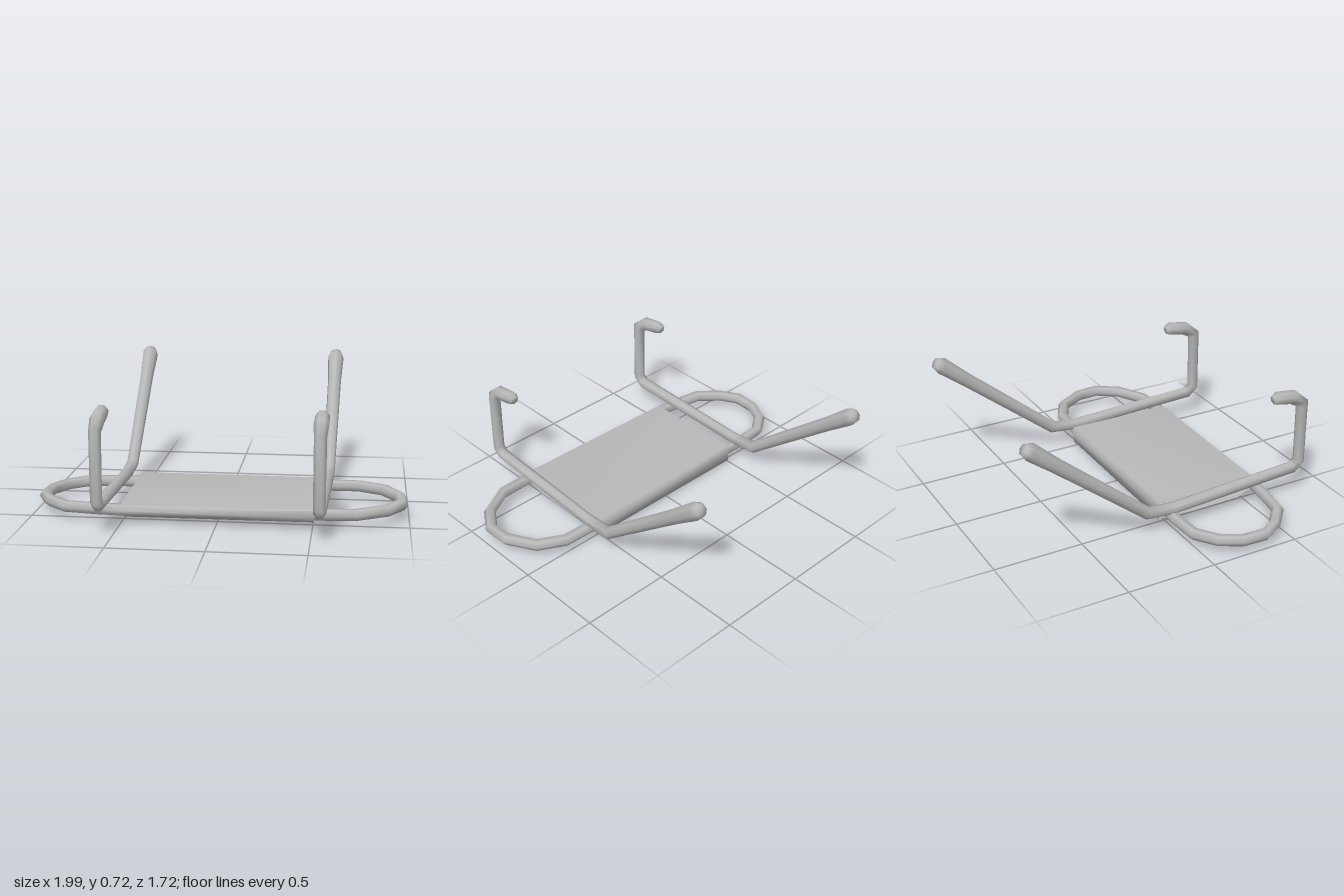
import * as THREE from 'three';

const steel = new THREE.MeshStandardMaterial({ color: 0xb8b8b8, side: THREE.DoubleSide });
steel.name = 'light grey';

function toGeometry(pos, idx) {
  const g = new THREE.BufferGeometry();
  g.setAttribute('position', new THREE.Float32BufferAttribute(pos, 3));
  g.setIndex(idx);
  g.computeVertexNormals();
  return g;
}

// Mitred low-poly pipe along a roughly planar path; "normal" is the plane's normal.
function pipe(points, radii, normal, closed = false, sides = 7) {
  const pos = [], idx = [], n = points.length;
  const at = (i) => (closed ? points[(i + n) % n] : points[Math.min(Math.max(i, 0), n - 1)]);
  points.forEach((p, i) => {
    const before = p.clone().sub(at(i - 1)).normalize();
    const after = at(i + 1).clone().sub(p).normalize();
    const tangent = before.clone().add(after).normalize();
    const side = normal.clone().cross(tangent).normalize();
    const bend = before.lengthSq() && after.lengthSq() ? tangent.dot(after) : 1;
    for (let j = 0; j < sides; j++) {
      const a = (j / sides) * Math.PI * 2;
      const v = p.clone()
        .addScaledVector(side, (radii[i] * Math.cos(a)) / bend)
        .addScaledVector(normal, radii[i] * Math.sin(a));
      pos.push(v.x, v.y, v.z);
    }
  });
  for (let i = 0; i < (closed ? n : n - 1); i++) {
    for (let j = 0; j < sides; j++) {
      const k = (j + 1) % sides, m = (i + 1) % n;
      const a = i * sides + j, b = i * sides + k, c = m * sides + k, d = m * sides + j;
      idx.push(a, b, d, b, c, d);
    }
  }
  if (!closed) {
    const first = pos.length / 3;
    pos.push(...points[0].toArray(), ...points[n - 1].toArray());
    for (let j = 0; j < sides; j++) {
      const k = (j + 1) % sides, e = (n - 1) * sides;
      idx.push(first, k, j, first + 1, e + j, e + k);
    }
  }
  return toGeometry(pos, idx);
}

// Closed cloth sleeve lofted between cross-sections of [z, y] points.
function sleeve(sections) {
  const pos = [], idx = [], m = sections[0].loop.length;
  sections.forEach(({ x, loop }) => loop.forEach(([z, y]) => pos.push(x, y, z)));
  for (let i = 0; i < sections.length - 1; i++) {
    for (let j = 0; j < m; j++) {
      const a = i * m + j, b = i * m + ((j + 1) % m);
      idx.push(a, a + m, b, b, a + m, b + m);
    }
  }
  return toGeometry(pos, idx);
}

export function createModel() {
  const model = new THREE.Group();
  const add = (name, geometry) => {
    const mesh = new THREE.Mesh(geometry, steel);
    mesh.name = name;
    model.add(mesh);
  };

  // Oval frame, [x, z] centreline
  const oval = [
    [-0.5, 0.0], [-0.62, 0.0], [-0.79, 0.01], [-0.9, 0.09], [-0.96, 0.2], [-0.967, 0.33],
    [-0.91, 0.43], [-0.8, 0.53], [-0.62, 0.56], [-0.5, 0.57], [0.5, 0.58], [0.72, 0.57],
    [0.88, 0.48], [0.96, 0.36], [0.955, 0.23], [0.87, 0.08], [0.73, 0.005], [0.5, 0.0],
  ].map(([x, z]) => new THREE.Vector3(x, 0.078 + 0.01 * x, z));
  add('ovalFrame', pipe(oval, oval.map(() => 0.032), new THREE.Vector3(0, 1, 0), true, 6));

  // Cloth seat wrapped around the two long rails
  const loop = (front, low) => [
    [front - 0.03, 0.115], [front, 0.075], [front - 0.03, 0.045], [front - 0.12, low + 0.005],
    [0.2, low], [-0.03, low + 0.012], [-0.04, 0.08], [-0.025, 0.12],
  ];
  add('seatSleeve', sleeve([
    { x: -0.495, loop: loop(0.602, 0.003) },
    { x: 0.51, loop: loop(0.622, 0.012) },
  ]));

  // Bent rods: hooked front upright, level run, raked rear arm; [z, y, radius]
  const rod = [
    [0.625, 0.605, 0.025], [0.65, 0.61, 0.037], [0.76, 0.592, 0.04], [0.822, 0.545, 0.033],
    [0.825, 0.19, 0.032], [0.785, 0.155, 0.033], [0.0, 0.118, 0.033], [-0.155, 0.134, 0.034],
    [-0.68, 0.56, 0.04], [-0.82, 0.675, 0.048], [-0.85, 0.695, 0.034],
  ];
  for (const [name, x, drift] of [['rightRod', -0.575, -0.01], ['leftRod', 0.55, 0.015]]) {
    const path = rod.map(([z, y]) => new THREE.Vector3(x + drift * (0.4 - z), y, z));
    add(name, pipe(path, rod.map((r) => r[2]), new THREE.Vector3(1, 0, 0)));
  }
  return model;
}
